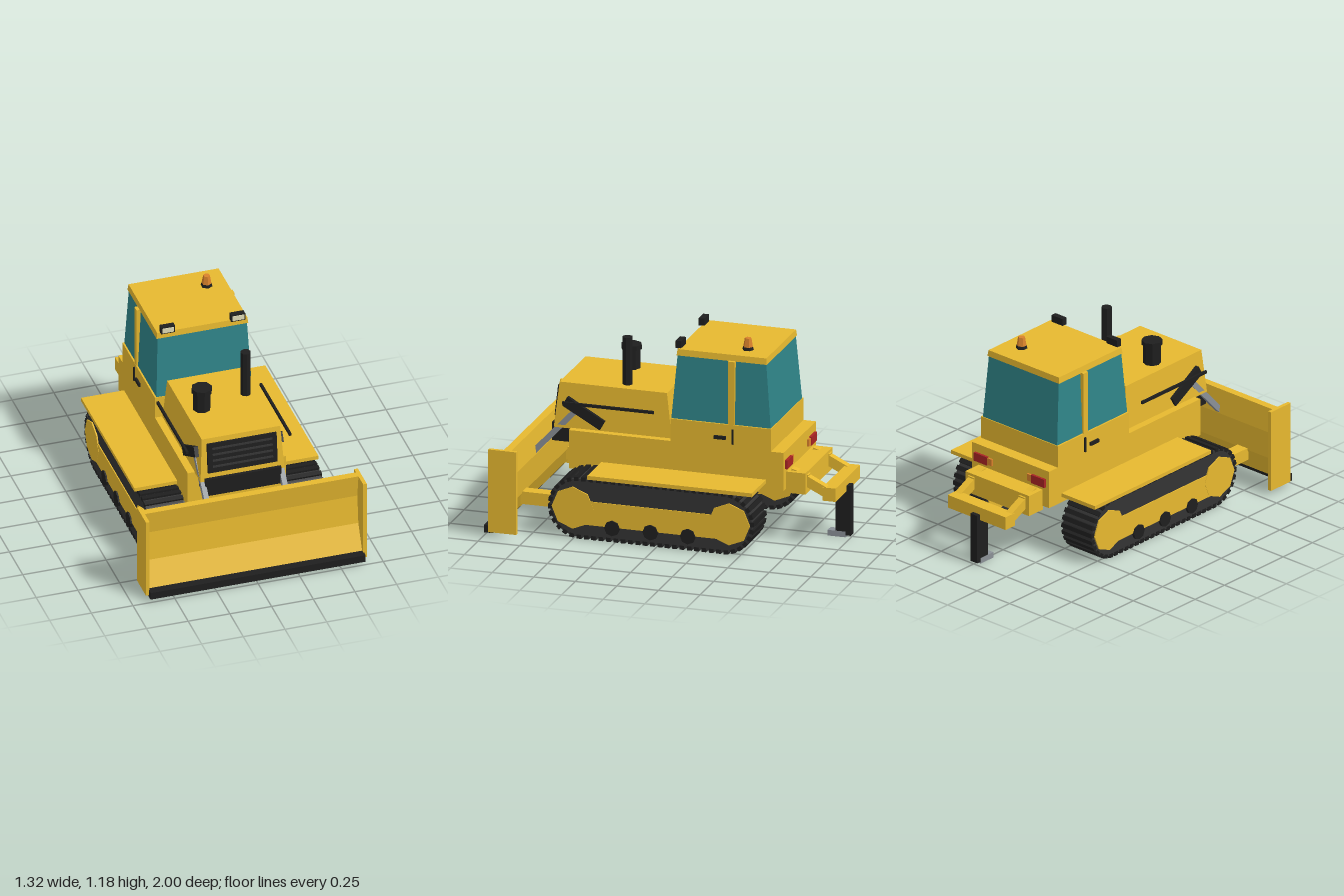
import * as THREE from 'three';

const mat = (color, side = THREE.FrontSide) =>
  new THREE.MeshStandardMaterial({ color, flatShading: true, side });
const YELLOW = mat(0xe6b82f), BLACK = mat(0x1e1e1e), DARK = mat(0x333333), GREY = mat(0x8a9096);
const GLASS = mat(0x2f8488), RED = mat(0xa82424), AMBER = mat(0xd9822b), CREAM = mat(0xe0dcb8);
const YELLOW_THIN = mat(0xe6b82f, THREE.DoubleSide);

export function createModel() {
  const model = new THREE.Group();
  const add = (name, geo, material, parent = model) => {
    const mesh = new THREE.Mesh(geo, material);
    mesh.name = name;
    parent.add(mesh);
    return mesh;
  };
  // Box from its limits on each axis
  const box = (name, m, x0, x1, y0, y1, z0, z1, parent) =>
    add(name, new THREE.BoxGeometry(x1 - x0, y1 - y0, z1 - z0)
      .translate((x0 + x1) / 2, (y0 + y1) / 2, (z0 + z1) / 2), m, parent);
  // Box with separate footprints at bottom and top: [halfWidth, zBack, zFront]
  const taper = (name, m, y0, y1, bottom, top) => {
    const g = new THREE.BoxGeometry(2, y1 - y0, 2).translate(0, (y0 + y1) / 2, 0);
    const p = g.attributes.position;
    for (let i = 0; i < p.count; i++) {
      const [w, zb, zf] = p.getY(i) > (y0 + y1) / 2 ? top : bottom;
      p.setX(i, p.getX(i) * w);
      p.setZ(i, p.getZ(i) > 0 ? zf : zb);
    }
    g.computeVertexNormals();
    return add(name, g, m);
  };
  // Side outline of [z, y] points extruded across x
  const slab = (name, m, shape, x0, x1, parent) =>
    add(name, new THREE.ExtrudeGeometry(shape, { depth: x1 - x0, bevelEnabled: false, curveSegments: 12 })
      .rotateY(-Math.PI / 2).translate(x1, 0, 0), m, parent);
  const outline = pts => new THREE.Shape(pts.map(([z, y]) => new THREE.Vector2(z, y)));
  // Bar in the side plane between two [z, y] points
  const bar = (name, m, x, width, thick, a, b, parent) => {
    const dz = b[0] - a[0], dy = b[1] - a[1];
    const mesh = add(name, new THREE.BoxGeometry(width, thick, Math.hypot(dz, dy)), m, parent);
    mesh.position.set(x, (a[1] + b[1]) / 2, (a[0] + b[0]) / 2);
    mesh.rotation.x = -Math.atan2(dy, dz);
    return mesh;
  };
  const post = (name, m, x, z, y0, y1, r0, r1, sides) =>
    add(name, new THREE.CylinderGeometry(r1, r0, y1 - y0, sides).translate(x, (y0 + y1) / 2, z), m);

  // Body
  box('chassis', YELLOW, -0.295, 0.295, 0.335, 0.565, -0.685, 0.605);
  box('cabBase', YELLOW, -0.295, 0.295, 0.5, 0.7, -0.61, -0.005);
  taper('hood', YELLOW, 0.56, 0.83, [0.252, 0, 0.71], [0.235, 0.035, 0.68]);

  // Grille leaning with the nose of the hood
  const grille = new THREE.Group();
  grille.name = 'grille';
  grille.position.set(0, 0.707, 0.697);
  grille.rotation.x = -0.113;
  model.add(grille);
  box('grillePanel', BLACK, -0.208, 0.208, -0.092, 0.092, -0.01, 0.012, grille);
  for (let i = 0; i < 4; i++) {
    const y = -0.052 + i * 0.038;
    box('grilleSlat', DARK, -0.18, 0.18, y - 0.005, y + 0.005, 0.01, 0.02, grille);
  }
  box('lowerGrille', BLACK, -0.228, 0.228, 0.47, 0.58, 0.6, 0.728);

  // Stacks on the hood
  post('exhaustStack', BLACK, 0.15, 0.3, 0.82, 1.115, 0.03, 0.03, 8);
  post('airCleaner', BLACK, -0.135, 0.37, 0.82, 0.95, 0.052, 0.052, 8);
  post('airCleanerCap', BLACK, -0.135, 0.37, 0.945, 0.973, 0.061, 0.061, 8);

  // Cab
  taper('cabGlass', GLASS, 0.7, 1.08, [0.285, -0.605, -0.008], [0.268, -0.573, -0.04]);
  taper('roof', YELLOW, 1.078, 1.115, [0.275, -0.578, -0.036], [0.27, -0.574, -0.04]);
  post('beaconBase', BLACK, 0.15, -0.425, 1.112, 1.133, 0.035, 0.03, 6);
  post('beacon', AMBER, 0.15, -0.425, 1.133, 1.185, 0.029, 0.02, 6);

  for (const s of [1, -1]) {
    const side = new THREE.Group();
    side.name = s > 0 ? 'leftSide' : 'rightSide';
    model.add(side);
    // Box mirrored to this side
    const sbox = (name, m, x0, x1, ...rest) =>
      box(name, m, Math.min(s * x0, s * x1), Math.max(s * x0, s * x1), ...rest, side);

    // Cab fittings
    sbox('doorPillar', YELLOW, 0.262, 0.294, 0.7, 1.08, -0.39, -0.35);
    sbox('doorHandle', BLACK, 0.29, 0.308, 0.61, 0.63, -0.34, -0.27);
    sbox('doorHinge', BLACK, 0.29, 0.303, 0.585, 0.675, -0.386, -0.374);
    sbox('workLight', BLACK, 0.168, 0.252, 1.113, 1.157, -0.056, -0.022);
    sbox('workLightLens', CREAM, 0.175, 0.245, 1.12, 1.15, -0.03, -0.018);
    sbox('handrail', BLACK, 0.302, 0.316, 0.722, 0.738, 0.09, 0.64);
    sbox('tailLight', RED, 0.17, 0.27, 0.46, 0.512, -0.7, -0.68);
    sbox('turnSignal', AMBER, 0.135, 0.17, 0.465, 0.507, -0.697, -0.68);
    sbox('fender', YELLOW, 0.28, 0.552, 0.37, 0.393, -0.58, 0.41);

    // Blade lift gear
    bar('liftCylinder', BLACK, s * 0.253, 0.026, 0.062, [0.64, 0.725], [0.415, 0.6], side);
    bar('liftRod', GREY, s * 0.236, 0.03, 0.034, [0.56, 0.69], [0.83, 0.4], side);
    sbox('pushArm', YELLOW, 0.375, 0.45, 0.145, 0.22, 0.5, 0.845);
    sbox('bladeEndPlate', YELLOW, 0.64, 0.662, 0.03, 0.528, 0.8, 0.968);

    // Track belt
    const [zf, zr, yc, r] = [0.467, -0.4, 0.187, 0.174];
    const belt = new THREE.Shape();
    belt.absarc(zf, yc, r, -Math.PI / 2, Math.PI / 2);
    belt.absarc(zr, yc, r, Math.PI / 2, Math.PI * 1.5);
    const span = (a, b) => [Math.min(s * a, s * b), Math.max(s * a, s * b)];
    slab('trackBelt', DARK, belt, ...span(0.302, 0.528), side);
    // Tread bars spaced evenly around the belt
    const run = zf - zr, arc = Math.PI * r, total = 2 * (run + arc), count = 64;
    for (let i = 0; i < count; i++) {
      let d = i * total / count, z, y, a;
      const onRear = d >= run + arc;
      if (onRear) d -= run + arc;
      if (d < run) {
        a = 0; z = zr + d; y = yc + r;
      } else {
        a = (d - run) / r;
        z = zf + r * Math.sin(a); y = yc + r * Math.cos(a);
      }
      if (onRear) { a += Math.PI; z = zf + zr - z; y = 2 * yc - y; }
      const tread = add('tread', new THREE.BoxGeometry(0.232, 0.024, 0.027), BLACK, side);
      tread.position.set(s * 0.415, y, z);
      tread.rotation.x = a;
    }
    // Side frame with octagonal wheel covers, and rollers
    sbox('trackFrame', YELLOW, 0.295, 0.534, 0.09, 0.232, -0.4, 0.47);
    const disc = (name, m, z, y, radius, x0, x1) =>
      add(name, new THREE.CylinderGeometry(radius, radius, x1 - x0, 8).rotateZ(Math.PI / 2)
        .translate(s * (x0 + x1) / 2, y, z), m, side);
    for (const z of [0.503, -0.436]) disc('wheelCover', YELLOW, z, 0.185, 0.126, 0.296, 0.536);
    for (const z of [0.265, 0.035, -0.19]) disc('roller', BLACK, z, 0.087, 0.046, 0.29, 0.543);

    // Ripper arm
    bar('ripperArm', YELLOW, s * 0.195, 0.045, 0.06, [-0.7, 0.42], [-0.8, 0.39], side);
    bar('ripperArm', YELLOW, s * 0.195, 0.045, 0.06, [-0.78, 0.39], [-0.92, 0.322], side);
  }

  // Blade, hollow toward the front
  slab('blade', YELLOW_THIN, outline([
    [0.88, 0.528], [0.86, 0.385], [0.878, 0.21], [0.95, 0.06],
    [0.91, 0.06], [0.835, 0.21], [0.815, 0.385], [0.835, 0.528],
  ]), -0.642, 0.642);
  box('cuttingEdge', BLACK, -0.645, 0.645, 0.02, 0.064, 0.945, 1.0);

  // Rear ripper
  box('ripperMount', YELLOW, -0.245, 0.245, 0.31, 0.437, -0.8, -0.68);
  box('ripperBeam', YELLOW, -0.222, 0.222, 0.277, 0.357, -0.975, -0.895);
  box('ripperShank', BLACK, -0.026, 0.026, 0.012, 0.312, -1.0, -0.908);
  box('ripperTooth', GREY, -0.027, 0.027, 0, 0.034, -0.97, -0.862);

  return model;
}
